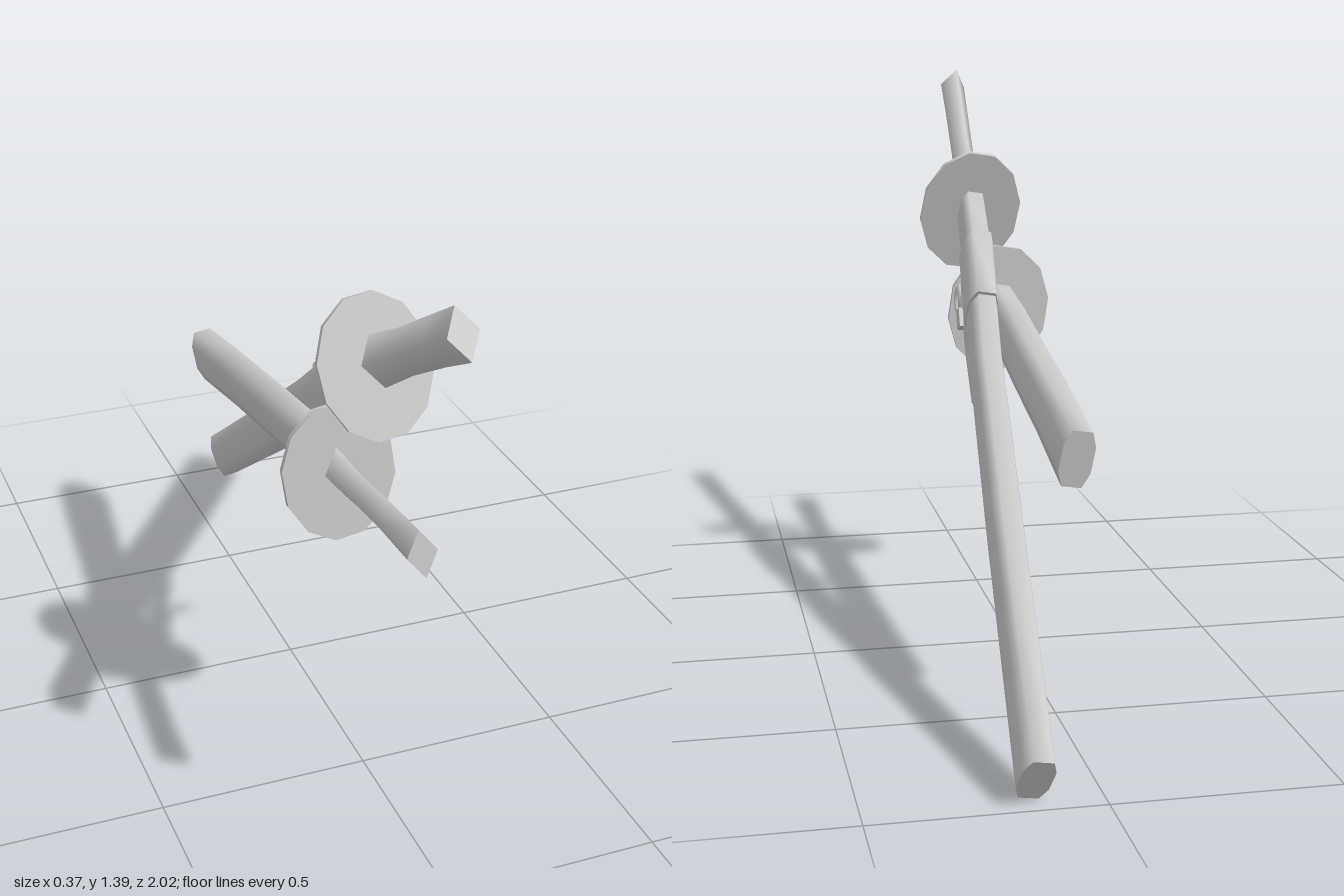
import * as THREE from 'three';

const grey = new THREE.MeshStandardMaterial({ color: 0xcccccc, side: THREE.DoubleSide });

// Cross-sections as [sideways, upwards] points, counter-clockwise
const diamond = [[0, -0.056], [0.034, 0], [0, 0.056], [-0.034, 0]];
const sheath = [[-0.022, -0.064], [0.022, -0.064], [0.035, -0.03], [0.035, 0.03],
  [0.022, 0.064], [-0.022, 0.064], [-0.035, 0.03], [-0.035, -0.03]];
const ribbon = [[-0.003, -0.011], [0.003, -0.011], [0.003, 0.011], [-0.003, 0.011]];
const oval = Array.from({ length: 12 }, (_, i) => {
  const a = (i / 12) * Math.PI * 2 + Math.PI / 12;
  return [0.135 * Math.cos(a), 0.172 * Math.sin(a)];
});

// Sweeps a cross-section along stations [x, y, z, scale] and caps both ends
function loft(name, shape, stations, roll = 0.15) {
  const centres = stations.map(([x, y, z]) => new THREE.Vector3(x, y, z));
  const n = shape.length, last = centres.length - 1;
  const upRef = new THREE.Vector3(-Math.sin(roll), Math.cos(roll), 0);
  const pos = [], idx = [];
  const rings = centres.map((c, i) => {
    const t = centres[Math.min(i + 1, last)].clone().sub(centres[Math.max(i - 1, 0)]).normalize();
    const s = t.clone().cross(upRef).normalize();
    const u = s.clone().cross(t);
    const k = stations[i][3] ?? 1;
    return shape.map(([a, b]) => c.clone().addScaledVector(s, a * k).addScaledVector(u, b * k));
  });
  rings.forEach((ring) => ring.forEach((p) => pos.push(p.x, p.y, p.z)));
  for (let i = 0; i < last; i++) {
    for (let j = 0; j < n; j++) {
      const a = i * n + j, b = i * n + ((j + 1) % n);
      idx.push(a, b + n, b, a, a + n, b + n);
    }
  }
  // Caps have their own vertices so their rims stay sharp
  [rings[0], rings[last].slice().reverse()].forEach((ring) => {
    const base = pos.length / 3;
    ring.forEach((p) => pos.push(p.x, p.y, p.z));
    for (let j = 1; j < n - 1; j++) idx.push(base, base + j, base + j + 1);
  });
  const g = new THREE.BufferGeometry();
  g.setAttribute('position', new THREE.Float32BufferAttribute(pos, 3));
  g.setIndex(idx);
  g.computeVertexNormals();
  const mesh = new THREE.Mesh(g, grey);
  mesh.name = name;
  return mesh;
}

// Thin oval disc across the blade axis
function guard(name, centre, axis, scale) {
  const c = new THREE.Vector3(...centre), t = new THREE.Vector3(...axis).normalize();
  const at = (d) => [...c.clone().addScaledVector(t, d).toArray(), scale];
  return loft(name, oval, [at(-0.007), at(0.007)]);
}

function sword(name, parts) {
  const g = new THREE.Group();
  g.name = name;
  g.add(...parts);
  return g;
}

export function createModel() {
  const model = new THREE.Group();
  model.name = 'pairOfSheathedSwords';

  // Long sword, sloping down to the back
  model.add(sword('longSword', [
    loft('longHandle', diamond, [
      [-0.022, 1.353, 0.98, 1], [-0.012, 1.28, 0.85, 0.95],
      [0.002, 1.175, 0.67, 0.92], [0.016, 1.07, 0.49, 1.08]]),
    guard('longGuard', [0.018, 1.05, 0.475], [0.03, -0.3, -0.95], 0.98),
    loft('longScabbard', sheath, [
      [0.018, 1.055, 0.465, 0.88], [0.034, 0.93, 0.27, 0.94], [0.066, 0.735, 0, 0.97],
      [0.105, 0.425, -0.45, 1], [0.148, 0.07, -0.98, 1]]),
    loft('scabbardCollar', sheath, [
      [0.031, 0.965, 0.315, 1.08], [0.052, 0.835, 0.135, 1.06]]),
  ]));

  // Short sword, crossing beneath it
  model.add(sword('shortSword', [
    loft('shortHandle', diamond, [
      [-0.058, 0.845, 0.915, 1], [-0.055, 0.83, 0.75, 0.93],
      [-0.052, 0.807, 0.58, 0.9], [-0.05, 0.793, 0.45, 1.08]]),
    guard('shortGuard', [-0.052, 0.79, 0.445], [0, -0.05, -1], 1),
    loft('shortScabbard', sheath, [
      [-0.05, 0.792, 0.44, 0.98], [-0.045, 0.765, 0.22, 1], [-0.04, 0.727, 0, 1.02],
      [-0.036, 0.68, -0.28, 1.03], [-0.03, 0.623, -0.57, 1.05]]),
  ]));

  // Knotted cord hanging on the left of the long scabbard
  const cord = new THREE.Group();
  cord.name = 'cord';
  [[0.825, 0.37, 0.036, 0.3], [0.835, 0.25, 0.028, 1.1]].forEach(([y, z, r, turn]) => {
    const loop = new THREE.Mesh(new THREE.TorusGeometry(r, 0.009, 4, 5), grey);
    loop.name = 'cordLoop';
    loop.rotation.set(0, Math.PI / 2, turn);
    loop.position.set(0.066, y, z);
    cord.add(loop);
  });
  const knot = new THREE.Mesh(new THREE.BoxGeometry(0.03, 0.05, 0.045), grey);
  knot.name = 'cordKnot';
  knot.position.set(0.068, 0.79, 0.295);
  knot.rotation.x = 0.4;
  cord.add(knot);
  [
    [[0.07, 0.8, 0.29, 0.7], [0.074, 0.715, 0.21, 1], [0.07, 0.605, 0.135, 1.2]],
    [[0.07, 0.795, 0.28, 0.7], [0.078, 0.745, 0.18, 1.1], [0.074, 0.635, 0.01, 1]],
    [[0.07, 0.805, 0.28, 0.7], [0.082, 0.775, 0.16, 1], [0.078, 0.69, 0.07, 0.9]],
    [[0.06, 0.9, 0.35, 1], [0.07, 0.84, 0.31, 1], [0.07, 0.79, 0.29, 1]],
  ].forEach((path) => cord.add(loft('cordTail', ribbon, path, 0)));
  model.add(cord);

  return model;
}
